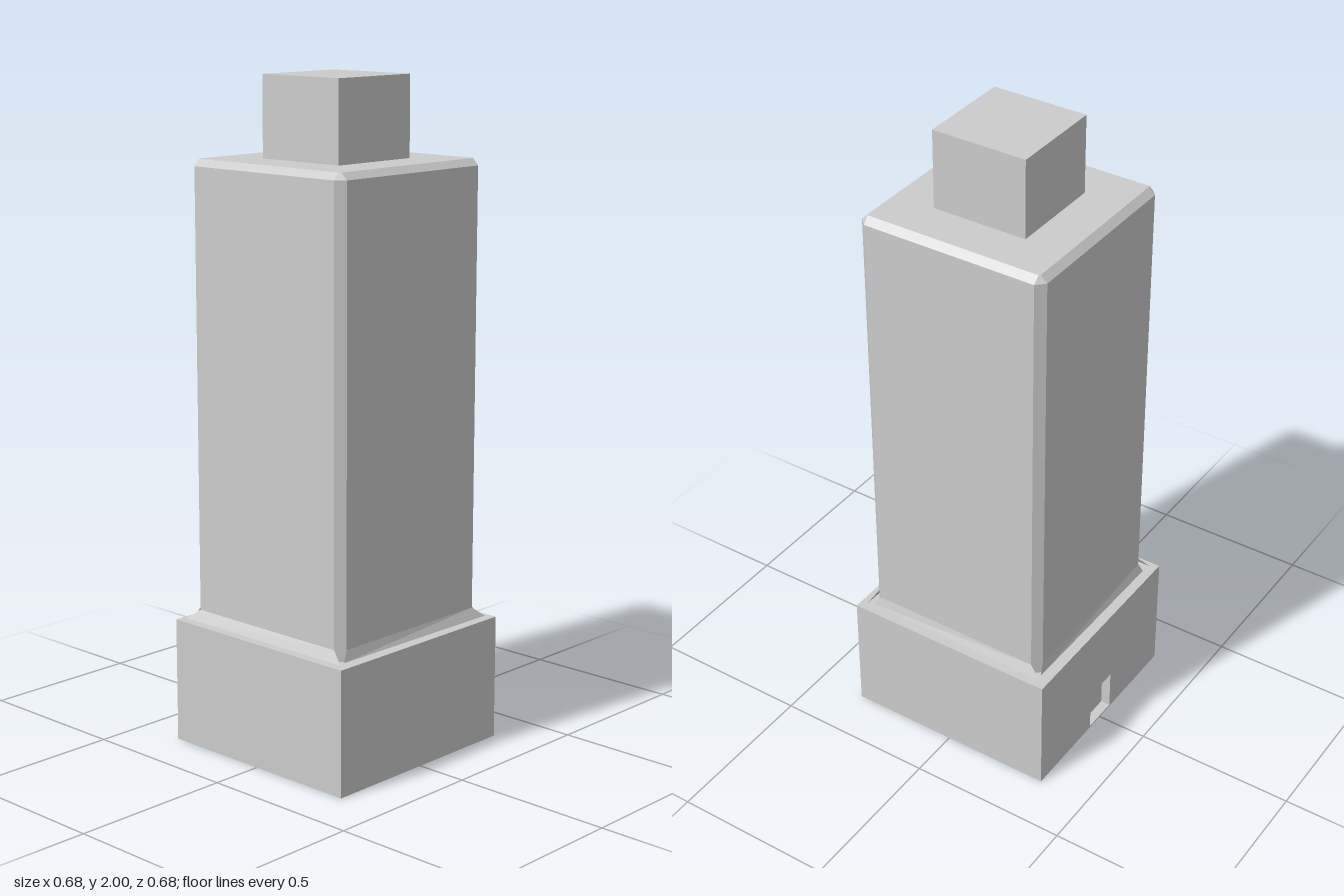
import * as THREE from 'three';

const material = new THREE.MeshStandardMaterial({ color: 0xcccccc, flatShading: true });
const thinMaterial = new THREE.MeshStandardMaterial({ color: 0xcccccc, flatShading: true, side: THREE.DoubleSide });

// Square with cut corners at height y, counterclockwise from above
function section(y, h, cut) {
  const k = h - cut;
  return [[h, -k], [k, -h], [-k, -h], [-h, -k], [-h, k], [-k, h], [k, h], [h, k]].map(([x, z]) => [x, y, z]);
}

function meshFromQuads(quads, mat, name) {
  const positions = quads.flatMap(([a, b, c, d]) => [a, b, c, a, c, d]).flat();
  const geometry = new THREE.BufferGeometry();
  geometry.setAttribute('position', new THREE.Float32BufferAttribute(positions, 3));
  geometry.computeVertexNormals();
  const mesh = new THREE.Mesh(geometry, mat);
  mesh.name = name;
  return mesh;
}

function box(name, w, h, d, x, y, z) {
  const mesh = new THREE.Mesh(new THREE.BoxGeometry(w, h, d), material);
  mesh.position.set(x, y, z);
  mesh.name = name;
  return mesh;
}

export function createModel() {
  const model = new THREE.Group();
  model.name = 'tower';

  // Base block, with a doorway cut through its wall on the -x side
  const half = 0.34, baseTop = 0.38, recess = 0.03;
  const base = new THREE.Group();
  base.name = 'base';
  base.add(box('baseBlock', 2 * half - recess, baseTop, 2 * half, recess / 2, baseTop / 2, 0));
  const wall = new THREE.Shape([[-half, 0], [half, 0], [half, baseTop], [-half, baseTop]].map(p => new THREE.Vector2(...p)));
  wall.holes.push(new THREE.Path([[-0.058, 0.005], [-0.058, 0.135], [0.058, 0.135], [0.058, 0.005]].map(p => new THREE.Vector2(...p))));
  const doorWall = new THREE.Mesh(new THREE.ExtrudeGeometry(wall, { depth: recess, bevelEnabled: false }), material);
  doorWall.rotation.y = -Math.PI / 2;
  doorWall.position.x = -half + recess;
  doorWall.name = 'doorWall';
  base.add(doorWall);
  model.add(base);

  // Shaft with chamfered vertical edges and a bevelled top
  const rings = [section(baseTop, 0.3, 0.025), section(1.74, 0.3, 0.025), section(1.76, 0.28, 0.004)];
  const quads = [];
  for (let r = 0; r < 2; r++) {
    for (let i = 0; i < 8; i++) {
      const j = (i + 1) % 8;
      quads.push([rings[r][i], rings[r][j], rings[r + 1][j], rings[r + 1][i]]);
    }
  }
  const top = rings[2];
  quads.push([top[0], top[1], top[2], top[3]], [top[0], top[3], top[4], top[7]], [top[4], top[5], top[6], top[7]]);
  model.add(meshFromQuads(quads, material, 'shaft'));

  // Sloped skirts at the shaft's foot, each with slightly uneven ends
  const low = baseTop + 0.003, high = 0.415;
  const skirts = {
    front: [[-0.32, 0.319], [0.315, 0.316], [0.275, 0.3], [-0.275, 0.3]],
    right: [[0.308, 0.293], [0.316, -0.317], [0.3, -0.275], [0.3, 0.275]],
    back: [[0.295, -0.308], [-0.315, -0.315], [-0.275, -0.3], [0.275, -0.3]],
    left: [[-0.306, -0.295], [-0.311, 0.287], [-0.3, 0.275], [-0.3, -0.275]],
  };
  for (const [side, corners] of Object.entries(skirts)) {
    const quad = corners.map(([x, z], i) => [x, i < 2 ? low : high, z]);
    model.add(meshFromQuads([quad], thinMaterial, side + 'Skirt'));
  }

  // Cap block
  model.add(box('cap', 0.298, 0.24, 0.298, 0, 1.88, 0));
  return model;
}
